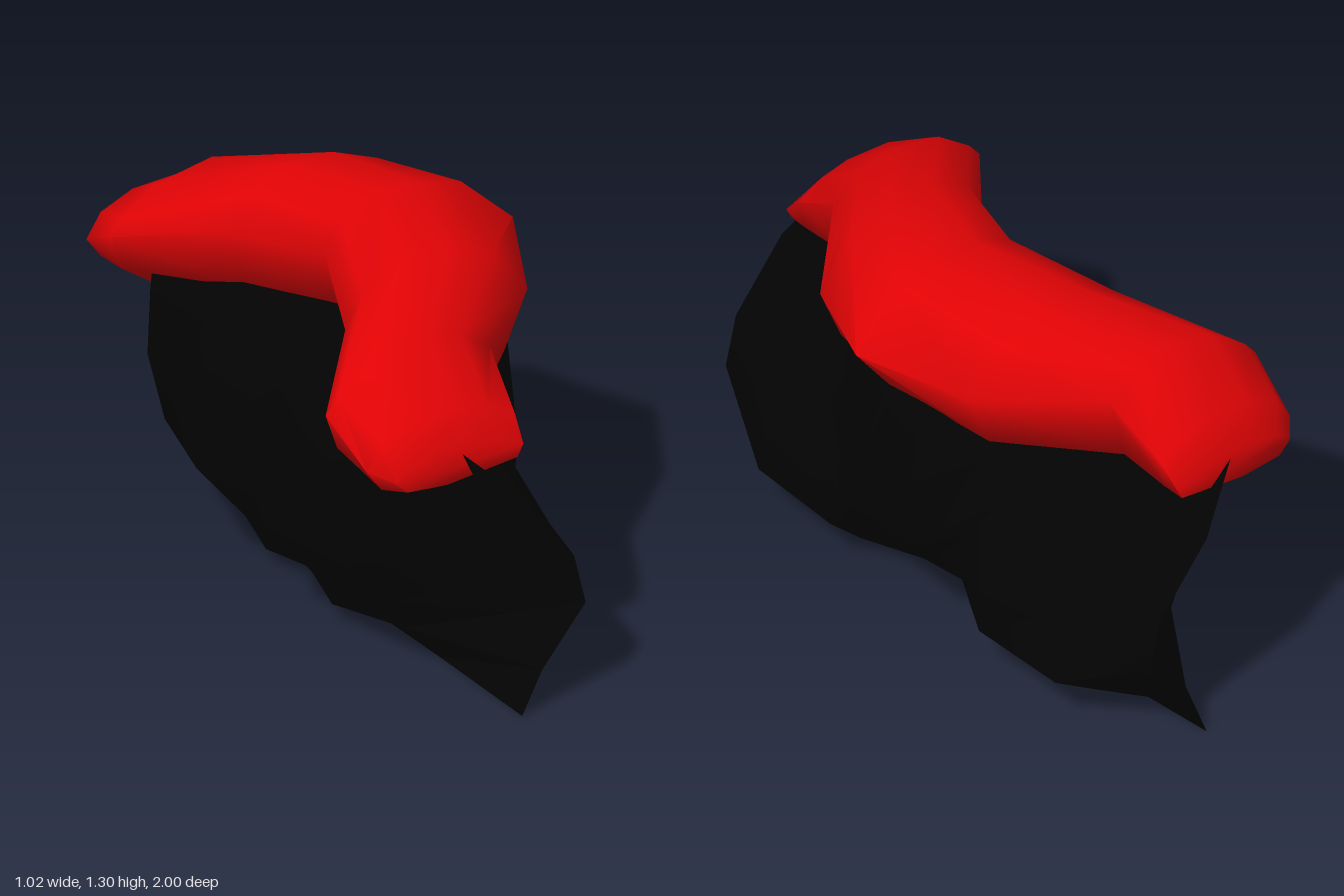
import * as THREE from 'three';
import { toCreasedNormals } from 'three/addons/utils/BufferGeometryUtils.js';

// Skin a list of equal-sized rings of [x, y, z] points and close both ends with fans.
function loft(rings, startCentre, endCentre, crease) {
  const n = rings[0].length;
  const points = [...rings.flat(), startCentre, endCentre];
  const start = points.length - 2, end = points.length - 1;
  const index = [];
  for (let r = 0; r < rings.length - 1; r++) {
    for (let i = 0; i < n; i++) {
      const j = (i + 1) % n;
      const a = r * n + i, b = r * n + j, c = b + n, d = a + n;
      index.push(a, b, c, a, c, d);
    }
  }
  const last = (rings.length - 1) * n;
  for (let i = 0; i < n; i++) {
    const j = (i + 1) % n;
    index.push(start, j, i, end, last + i, last + j);
  }
  const geometry = new THREE.BufferGeometry();
  geometry.setAttribute('position', new THREE.Float32BufferAttribute(points.flat(), 3));
  geometry.setIndex(index);
  return toCreasedNormals(geometry, crease);
}

const mirror = (section) => ({ z: -section.z, p: section.p });

export function createModel() {
  const model = new THREE.Group();
  const red = new THREE.MeshStandardMaterial({ color: 0xe00305 });
  red.name = 'red';
  const black = new THREE.MeshStandardMaterial({ color: 0x030303 });
  black.name = 'black';

  // Body: vertical ribs of [x, y] from keel to rim, each at its own z
  const end = { z: 1, p: [[-0.03, 0], [0.04, 0.14], [0.19, 0.33], [0.15, 0.5], [-0.03, 0.72], [-0.19, 0.9]] };
  const outerRibs = [
    { z: 0.7, p: [[0, 0], [0.15, 0.07], [0.31, 0.17], [0.25, 0.42], [0.06, 0.72], [-0.1, 0.88]] },
    { z: 0.35, p: [[0.02, 0], [0.2, 0.06], [0.32, 0.17], [0.31, 0.32], [0.24, 0.6], [0.21, 0.88]] },
    { z: 0.15, p: [[0.04, 0], [0.12, 0.06], [0.22, 0.2], [0.32, 0.33], [0.44, 0.43], [0.39, 0.92]] },
    { z: 0, p: [[0.04, 0], [0.1, 0.06], [0.2, 0.2], [0.31, 0.32], [0.44, 0.44], [0.38, 0.92]] },
  ];
  const innerRibs = [
    { z: 0, p: [[-0.07, 0], [-0.16, 0.06], [-0.25, 0.19], [-0.39, 0.4], [-0.39, 0.7], [-0.37, 0.86]] },
    { z: 0.2, p: [[-0.09, 0], [-0.23, 0.06], [-0.3, 0.19], [-0.47, 0.4], [-0.44, 0.74], [-0.41, 0.86]] },
    { z: 0.55, p: [[-0.06, 0], [-0.18, 0.13], [-0.24, 0.23], [-0.38, 0.38], [-0.44, 0.62], [-0.43, 0.84]] },
  ];
  const ribs = [
    end, ...outerRibs,
    ...outerRibs.slice(0, -1).reverse().map(mirror),
    mirror(end),
    ...innerRibs.slice(1).reverse().map(mirror),
    ...innerRibs,
  ];
  // The top corner of each end tucks inwards
  const levels = end.p.map((_, k) => ribs.map(({ z, p }) => {
    const tuck = Math.abs(z) === 1 && k === end.p.length - 1 ? 0.92 : 1;
    return [...p[k], z * tuck];
  }));
  const body = new THREE.Mesh(loft(levels, [-0.02, 0, 0], [0, 0.97, 0], 1), black);
  body.name = 'body';
  model.add(body);

  // Crest: cross-sections of [x, y], from the middle to one end, mirrored to the other
  const sections = [
    { z: 0, p: [[0.51, 1.09], [0.33, 1.26], [0.2, 1.29], [0.05, 1.3], [-0.09, 1.24], [-0.14, 1.13], [-0.08, 0.95], [0.14, 0.89], [0.38, 0.92]] },
    { z: 0.35, p: [[0.36, 1.05], [0.24, 1.2], [0.09, 1.26], [-0.08, 1.26], [-0.21, 1.19], [-0.27, 1.08], [-0.22, 0.88], [0.14, 0.82], [0.28, 0.86]] },
    { z: 0.65, p: [[0.06, 1.07], [-0.04, 1.14], [-0.16, 1.17], [-0.35, 1.13], [-0.47, 1.04], [-0.51, 0.99], [-0.47, 0.87], [-0.27, 0.73], [0, 0.85]] },
    { z: 0.85, p: [[0.03, 0.95], [-0.06, 1], [-0.16, 1.02], [-0.32, 1.01], [-0.43, 0.96], [-0.48, 0.88], [-0.43, 0.81], [-0.27, 0.77], [0.01, 0.85]] },
    { z: 0.92, p: [[0.02, 0.88], [-0.06, 0.91], [-0.16, 0.92], [-0.28, 0.92], [-0.37, 0.9], [-0.42, 0.86], [-0.38, 0.82], [-0.24, 0.81], [0, 0.84]] },
  ];
  const rings = [...sections.slice(1).reverse().map(mirror), ...sections]
    .map(({ z, p }) => p.map(([x, y]) => [x, y, z]));
  const crest = new THREE.Mesh(loft(rings, [-0.2, 0.86, -0.92], [-0.2, 0.86, 0.92], 1.3), red);
  crest.name = 'crest';
  model.add(crest);

  return model;
}
